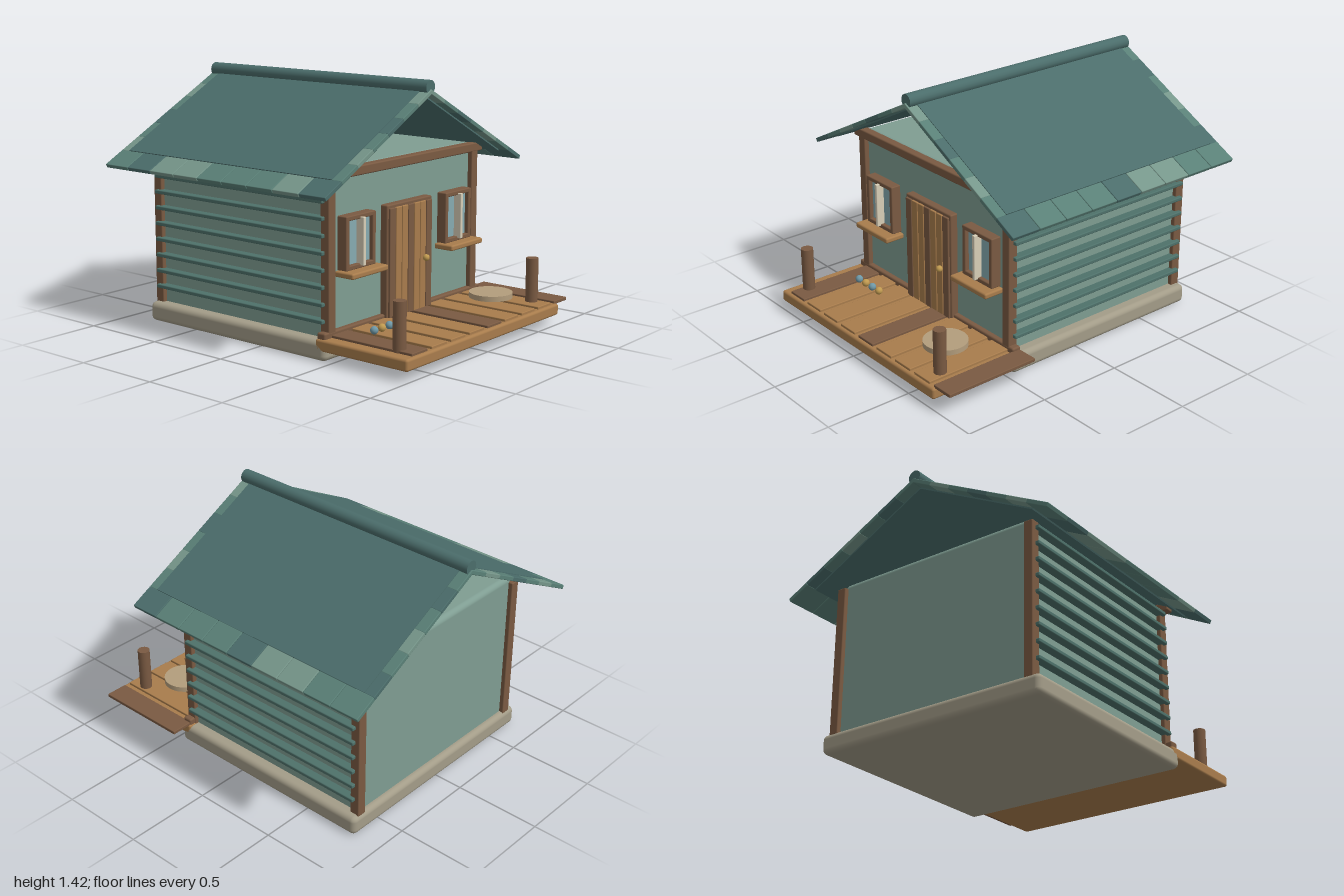
import * as THREE from 'three';
import { RoundedBoxGeometry } from 'three/addons/geometries/RoundedBoxGeometry.js';

const mat = (color) => new THREE.MeshStandardMaterial({ color });
const M = {
  wall: mat(0x7f9d92), trim: mat(0x4e716a), brown: mat(0x7a5a42), wood: mat(0xa87c4c),
  stone: mat(0xa39c88), cream: mat(0xd8cfb8), glass: mat(0x86aab0), gold: mat(0xc09a50),
  blue: mat(0x6f98a6), tan: mat(0xb39d7c), roof: mat(0x4b6d6b),
};
const TILES = [M.roof, mat(0x5a8077), mat(0x76968a), mat(0x5a8077)];

export function createModel() {
  const house = new THREE.Group();
  house.name = 'cabin';

  const add = (name, geo, material, x, y, z, parent = house) => {
    const mesh = new THREE.Mesh(geo, material);
    mesh.name = name;
    mesh.position.set(x, y, z);
    parent.add(mesh);
    return mesh;
  };
  // Box given by its extents, with optional rounded edges
  const block = (name, material, [x0, x1], [y0, y1], [z0, z1], r = 0, parent = house) => {
    const s = [x1 - x0, y1 - y0, z1 - z0];
    const geo = r ? new RoundedBoxGeometry(...s, 3, r) : new THREE.BoxGeometry(...s);
    return add(name, geo, material, (x0 + x1) / 2, (y0 + y1) / 2, (z0 + z1) / 2, parent);
  };

  // Foundation and body
  block('foundation', M.stone, [-0.71, 0.71], [0, 0.11], [-0.845, 0.465], 0.03);
  block('walls', M.wall, [-0.64, 0.64], [0.08, 1.0], [-0.81, 0.43], 0.03);
  block('topBeam', M.brown, [-0.71, 0.71], [0.945, 0.997], [0.405, 0.46], 0.008);
  block('bottomSill', M.brown, [-0.7, 0.7], [0.1, 0.152], [0.405, 0.46], 0.01);

  // Corner posts and siding strips, mirrored left and right
  for (const side of [-1, 1]) {
    for (const z of [-0.807, 0.43]) {
      add('cornerPost', new RoundedBoxGeometry(0.056, 0.87, 0.058, 2, 0.006), M.brown,
        side * 0.637, 0.535, z);
    }
    for (let i = 0; i < 9; i++) {
      add('sidingStrip', new RoundedBoxGeometry(0.055, 0.022, 1.24, 2, 0.006), M.trim,
        side * 0.66, 0.204 + i * 0.091, -0.19);
    }
  }

  // Door with alternating planks and a knob
  const door = new THREE.Group();
  door.name = 'door';
  house.add(door);
  block('doorFrame', M.brown, [-0.2, 0.2], [0.125, 0.755], [0.41, 0.475], 0.008, door);
  for (let i = 0; i < 7; i++) {
    const x = (i - 3) * 0.0545;
    block('doorPlank', i % 3 ? M.wood : M.brown, [x - 0.025, x + 0.025], [0.13, 0.737],
      [0.46, 0.487], 0.004, door);
  }
  add('doorKnob', new THREE.SphereGeometry(0.019, 16, 12), M.gold, 0.123, 0.417, 0.498, door);

  // Windows
  for (const side of [-1, 1]) {
    const win = new THREE.Group();
    win.name = 'window';
    win.position.x = side * 0.438;
    house.add(win);
    block('glass', M.glass, [-0.105, 0.105], [0.47, 0.74], [0.42, 0.465], 0, win);
    for (const s of [-1, 1]) {
      add('windowJamb', new RoundedBoxGeometry(0.026, 0.29, 0.07, 2, 0.006), M.brown,
        s * 0.11, 0.605, 0.455, win);
      add('windowRail', new RoundedBoxGeometry(0.246, 0.026, 0.07, 2, 0.006), M.brown,
        0, 0.605 + s * 0.132, 0.455, win);
    }
    block('mullion', M.cream, [-0.01, 0.01], [0.475, 0.735], [0.46, 0.513], 0.004, win);
    block('windowSill', M.wood, [-0.15, 0.15], [0.43, 0.462], [0.43, 0.555], 0.01, win);
  }

  // Porch deck, the last plank overhanging on the left
  block('deck', M.wood, [-0.71, 0.71], [0.055, 0.12], [0.4, 1.0], 0.014);
  for (let i = 0; i < 9; i++) {
    const x = -0.577 + i * 0.1667;
    block('deckPlank', i % 4 ? M.wood : M.brown, [x - 0.066, x + 0.066], [0.114, 0.134],
      [0.41, 0.98], 0.004);
  }
  for (const side of [-1, 1]) {
    add('porchPost', new THREE.CylinderGeometry(0.035, 0.035, 0.27, 20), M.brown,
      side * 0.613, 0.25, 0.878);
  }
  add('roundSeat', new THREE.CylinderGeometry(0.123, 0.123, 0.03, 32), M.tan, 0.447, 0.18, 0.712);
  for (let i = 0; i < 4; i++) {
    add('ball', new THREE.SphereGeometry(0.022, 16, 12), i % 2 ? M.gold : M.blue,
      -0.486 + i * 0.0645, 0.155, 0.615);
  }

  // Roof slopes: a panel framed by shingles along the eave and both gable ends.
  // In each slope group x runs down from the ridge and y is the outward normal.
  const angle = Math.atan(0.523), length = 0.878 / Math.cos(angle);
  const rows = 7, cols = 9, tileL = length / rows, tileW = 1.615 / cols;
  for (const side of [-1, 1]) {
    const slope = new THREE.Group();
    slope.name = side > 0 ? 'leftRoofSlope' : 'rightRoofSlope';
    slope.position.set(0, 1.372, 0);
    slope.rotation.order = 'YXZ';
    slope.rotation.set(0, side > 0 ? 0 : Math.PI, -angle);
    house.add(slope);
    const zc = -0.1925 * side;
    add('roofPanel', new THREE.BoxGeometry(length - tileL, 0.036, 1.49), M.roof,
      (length - tileL) / 2, -0.016, zc, slope);
    for (let r = 0; r < rows; r++) {
      for (let c = 0; c < cols; c++) {
        if (r < rows - 1 && c > 0 && c < cols - 1) continue;
        add('shingle', new RoundedBoxGeometry(tileL + 0.002, 0.024, tileW - 0.003, 2, 0.004),
          TILES[(r * 3 + c * 5 + (c * c) % 3 + (side > 0 ? 1 : 2)) % 4],
          (r + 0.5) * tileL, -0.014, zc + (c - (cols - 1) / 2) * tileW, slope);
      }
    }
  }
  const cap = add('ridgeCap', new THREE.CylinderGeometry(0.039, 0.039, 1.595, 16), M.roof,
    0, 1.381, -0.1925);
  cap.rotation.x = Math.PI / 2;

  return house;
}
